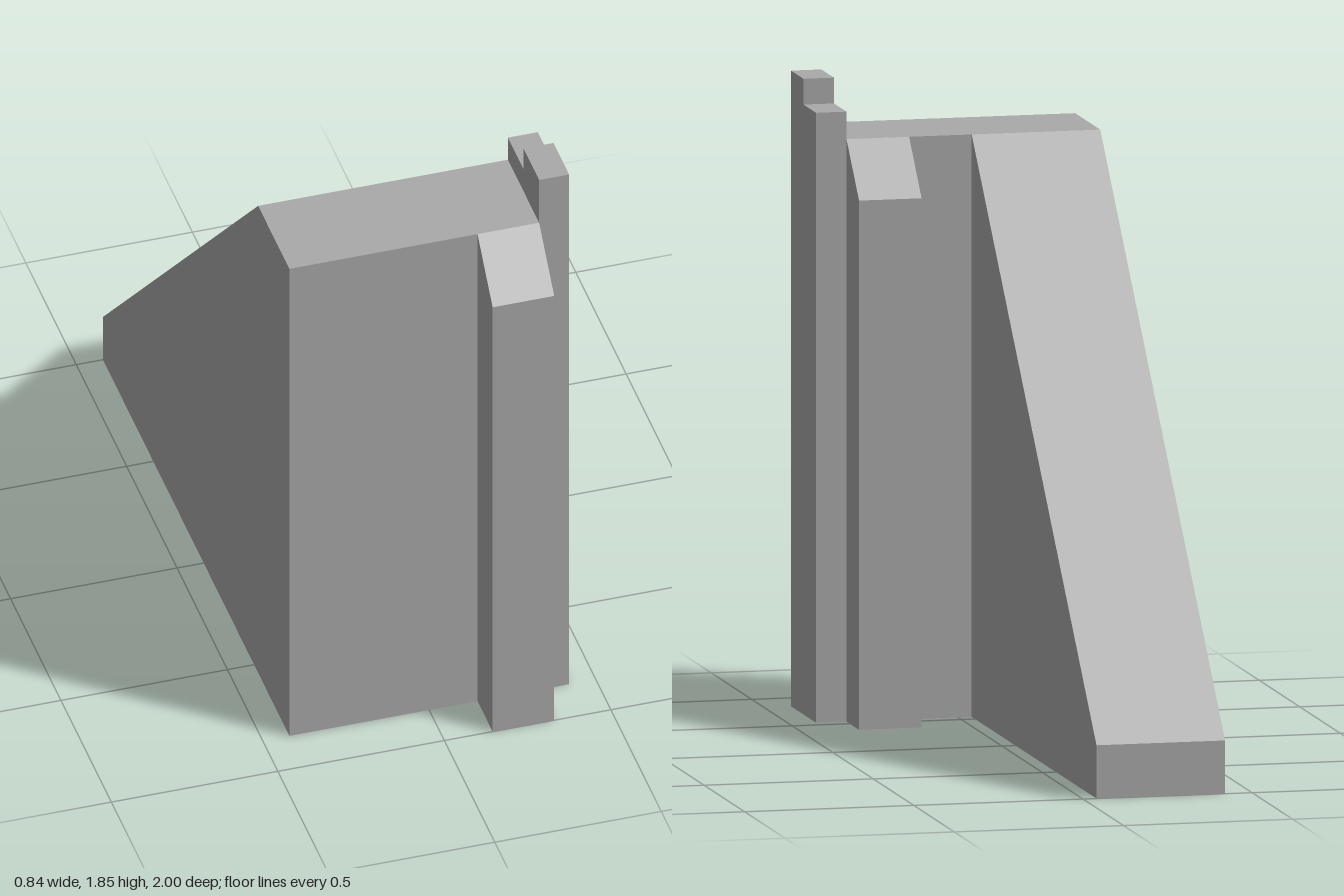
import * as THREE from 'three';

// Extrudes a side profile of [z, y] points across the width x0..x1.
function slab(name, x0, x1, points, material) {
  const shape = new THREE.Shape(points.map(([z, y]) => new THREE.Vector2(z, y)));
  const geometry = new THREE.ExtrudeGeometry(shape, { depth: x1 - x0, bevelEnabled: false });
  geometry.rotateY(-Math.PI / 2);
  geometry.translate(x1, 0, 0);
  const mesh = new THREE.Mesh(geometry, material);
  mesh.name = name;
  return mesh;
}

export function createModel() {
  const model = new THREE.Group();
  model.name = 'butressedWall';
  const stone = new THREE.MeshStandardMaterial({ color: 0xaaaaaa });
  stone.name = 'grey stone';

  const back = 0.54, front = 0.85, top = 1.695;

  // Upright wall
  model.add(slab('wall', -0.42, 0.33,
    [[back, 0], [front, 0], [front, top], [back, top]], stone));

  // Long sloping brace behind the wall
  model.add(slab('backBrace', -0.42, -0.04,
    [[-1, 0], [back, 0], [back, top], [-1, 0.155]], stone));

  // Pilasters with chamfered tops on both faces of the wall
  model.add(slab('frontPilaster', 0.145, 0.33,
    [[front, 0], [1, 0], [1, 1.54], [front, top]], stone));
  model.add(slab('backPilaster', 0.145, 0.33,
    [[0.385, 0], [back, 0], [back, top], [0.385, 1.54]], stone));

  // Taller end post with a stepped top
  model.add(slab('endPost', 0.33, 0.42,
    [[back, 0], [front, 0], [front, 1.85], [0.695, 1.85], [0.695, 1.775], [back, 1.775]], stone));

  return model;
}
